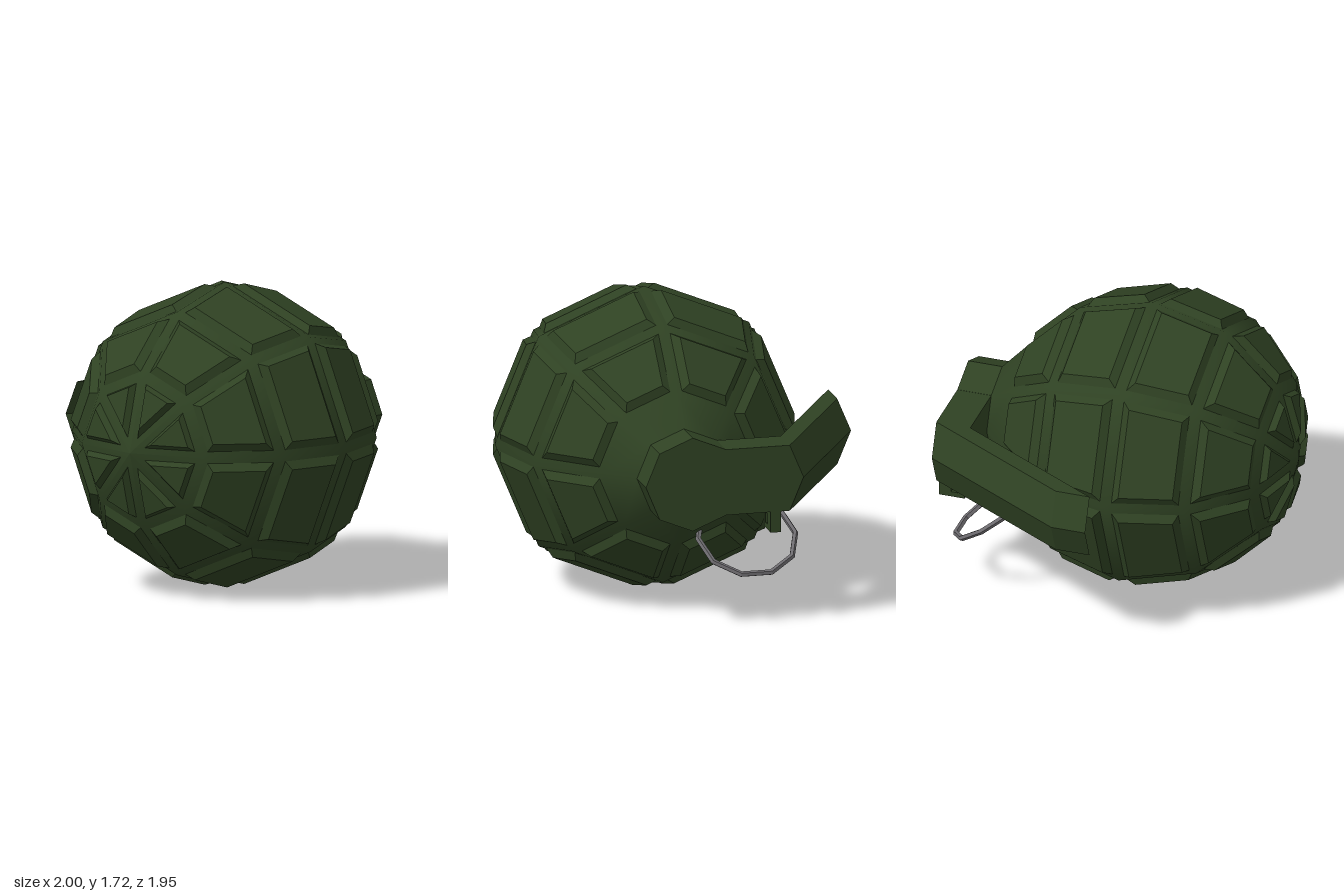
import * as THREE from 'three';

const green = new THREE.MeshStandardMaterial({ color: 0x2f4223, flatShading: true });
const smoothGreen = new THREE.MeshStandardMaterial({ color: 0x2f4223 });
const steel = new THREE.MeshStandardMaterial({ color: 0x6e6c70, flatShading: true });

const CX = 0.14, CY = 0.86, CZ = 0.12, R = 0.86, SIDES = 8;
const V = (x, y, z) => new THREE.Vector3(x, y, z);

// Joins loops of points and closes the last loop with a fan.
function loft(loops) {
  const pos = [];
  const tri = (...pts) => pts.forEach(p => pos.push(p.x, p.y, p.z));
  for (let k = 0; k + 1 < loops.length; k++) {
    const a = loops[k], b = loops[k + 1], n = a.length;
    for (let i = 0; i < n; i++) {
      const j = (i + 1) % n;
      tri(a[i], a[j], b[j]);
      tri(a[i], b[j], b[i]);
    }
  }
  const end = loops[loops.length - 1];
  for (let i = 1; i + 1 < end.length; i++) tri(end[0], end[i], end[i + 1]);
  const geo = new THREE.BufferGeometry();
  geo.setAttribute('position', new THREE.Float32BufferAttribute(pos, 3));
  geo.computeVertexNormals();
  return geo;
}

// Shrinks a flat polygon by d on every edge and lifts it by h.
function inset(pts, d, h) {
  const n = pts.length;
  const normal = pts[1].clone().sub(pts[0]).cross(pts[n - 1].clone().sub(pts[0])).normalize();
  return pts.map((p, i) => {
    const a = pts[(i + 1) % n].clone().sub(p).normalize();
    const b = pts[(i + n - 1) % n].clone().sub(p).normalize();
    const sin = a.clone().cross(b).length();
    return p.clone().addScaledVector(a.add(b), d / sin).addScaledVector(normal, h);
  });
}

export function createModel() {
  const group = new THREE.Group();
  const add = (name, geo, mat, parent = group) => {
    const mesh = new THREE.Mesh(geo, mat);
    mesh.name = name;
    parent.add(mesh);
    return mesh;
  };

  // Body: eight-sided sphere in 30 degree bands, drawn out to the neck
  const bands = [90, 60, 30, 0, -30, -60].map(deg => {
    const t = THREE.MathUtils.degToRad(deg);
    return { z: R * Math.sin(t), r: deg === 90 ? 0 : R * Math.cos(t) };
  });
  const profile = [new THREE.Vector2(0.27, -0.89),
    ...bands.slice().reverse().map(b => new THREE.Vector2(b.r, b.z))];
  const body = add('body', new THREE.LatheGeometry(profile, SIDES), smoothGreen);
  body.rotation.x = Math.PI / 2;
  body.position.set(CX, CY, CZ);

  // Raised bevelled panels, one on each face of the body
  const panels = new THREE.Group();
  panels.name = 'raisedPanels';
  group.add(panels);
  const onBody = (b, a) => V(CX + b.r * Math.cos(a), CY + b.r * Math.sin(a), CZ + b.z);
  for (let k = 0; k + 1 < bands.length; k++) {
    for (let i = 0; i < SIDES; i++) {
      const a0 = i * Math.PI / 4, a1 = a0 + Math.PI / 4;
      const face = [onBody(bands[k], a0), onBody(bands[k + 1], a0), onBody(bands[k + 1], a1)];
      if (k > 0) face.push(onBody(bands[k], a1));
      const top = k > 0 ? inset(face, 0.07, 0.04) : inset(face, 0.055, 0.035);
      add('panel', loft([inset(face, 0.035, 0), top]), green, panels);
    }
  }

  // Neck
  const neck = add('neck', new THREE.CylinderGeometry(0.27, 0.27, 0.2, SIDES), green);
  neck.rotation.x = Math.PI / 2;
  neck.position.set(CX, CY, -0.87);

  // Safety lever: ridged bar from the neck, bent down along the body
  const section = (x, z) => [
    V(x, CY, z), V(x + 0.08, CY - 0.19, z), V(x + 0.08, CY - 0.19, z + 0.2),
    V(x, CY, z + 0.2), V(x + 0.08, CY + 0.19, z + 0.2), V(x + 0.08, CY + 0.19, z)];
  add('safetyLever', loft([section(-0.13, -0.97), section(-0.5, -0.97), section(-1, -0.1)]), green);

  // Pin bracket with an eye, under the lever
  const plate = new THREE.Shape([[0.82, 0.55], [0.97, 0.55], [0.97, 0.69], [0.82, 0.69]]
    .map(p => new THREE.Vector2(...p)));
  plate.holes.push(new THREE.Path([[0.86, 0.58], [0.86, 0.64], [0.9, 0.64], [0.9, 0.58]]
    .map(p => new THREE.Vector2(...p))));
  const bracket = add('pinBracket',
    new THREE.ExtrudeGeometry(plate, { depth: 0.06, bevelEnabled: false }), green);
  bracket.rotation.y = Math.PI / 2;
  bracket.position.x = -0.37;

  // Pull ring, hanging at a slant
  const ring = add('pullRing', new THREE.TorusGeometry(0.28, 0.017, 5, 10), steel);
  ring.rotation.x = Math.atan2(0.8, 0.6) - Math.PI;
  ring.position.set(-0.25, 0.455, -0.67);

  return group;
}
